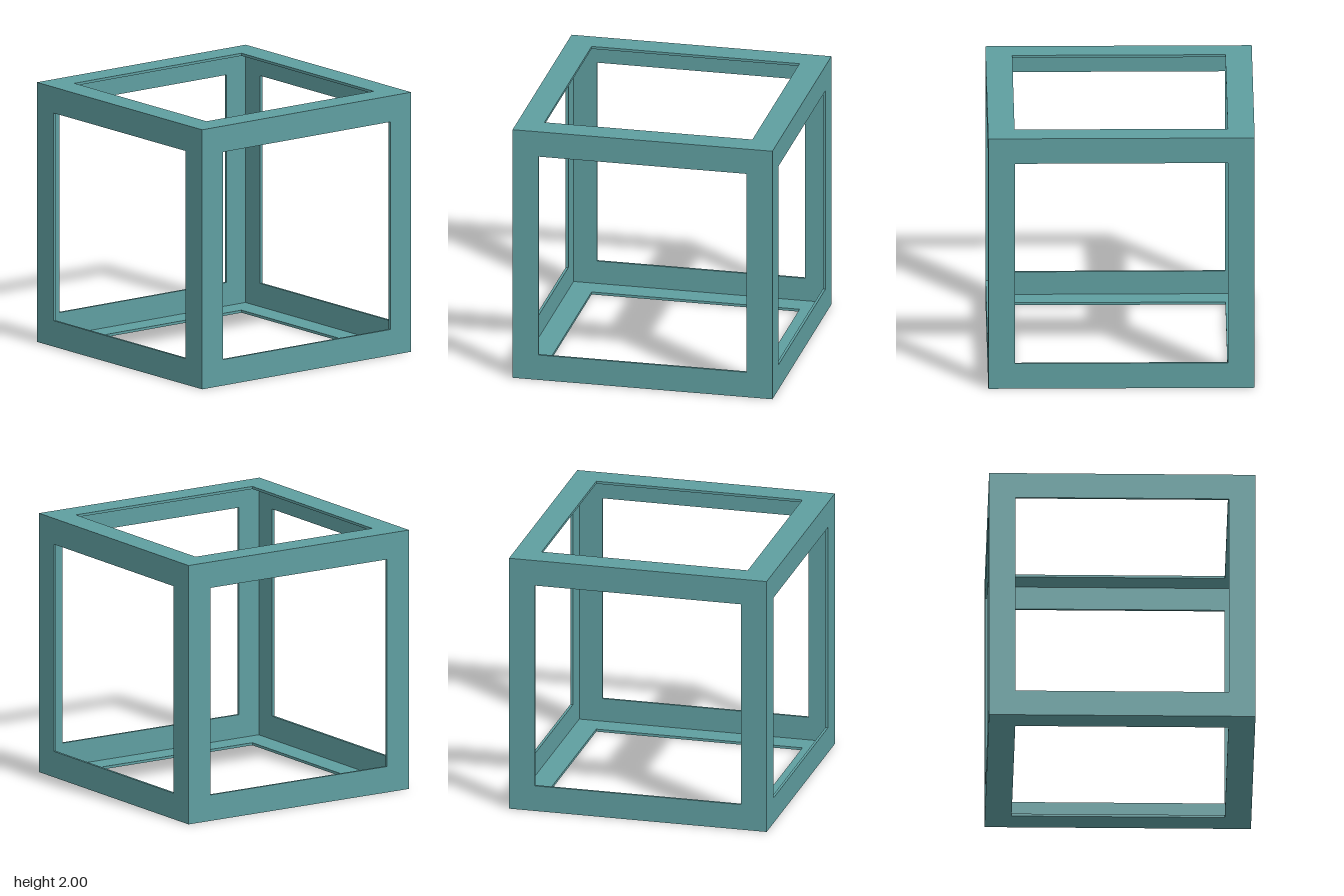
import * as THREE from 'three';

const HALF = 1;        // half the cube's side
const OPENING = 0.8;   // half the side of each window
const WALL = 0.02;     // panel thickness

const square = (Type, h) => new Type([[-h, -h], [h, -h], [h, h], [-h, h]].map(([x, y]) => new THREE.Vector2(x, y)));

// Square panel with a window, its outer rim mitred so six of them close up at the corners
function panelGeometry() {
  const shape = square(THREE.Shape, HALF);
  shape.holes.push(square(THREE.Path, OPENING));
  const geo = new THREE.ExtrudeGeometry(shape, { depth: WALL, bevelEnabled: false });
  geo.translate(0, 0, HALF - WALL);
  const p = geo.attributes.position;
  const inner = HALF - WALL;
  for (let i = 0; i < p.count; i++) {
    if (p.getZ(i) < HALF - WALL / 2) {
      p.setX(i, THREE.MathUtils.clamp(p.getX(i), -inner, inner));
      p.setY(i, THREE.MathUtils.clamp(p.getY(i), -inner, inner));
    }
  }
  geo.computeVertexNormals();
  return geo;
}

export function createModel() {
  const model = new THREE.Group();
  model.name = 'cubeFrame';
  const material = new THREE.MeshStandardMaterial({ color: 0x5f9ea0 });
  const geo = panelGeometry();
  const q = Math.PI / 2;

  // One panel per cube face, turned about the cube's centre
  const faces = [
    ['frontPanel', 0, 0], ['leftPanel', 0, q], ['backPanel', 0, 2 * q],
    ['rightPanel', 0, -q], ['topPanel', -q, 0], ['bottomPanel', q, 0],
  ];
  for (const [name, rx, ry] of faces) {
    const panel = new THREE.Mesh(geo, material);
    panel.name = name;
    panel.rotation.set(rx, ry, 0);
    panel.position.y = HALF;
    model.add(panel);
  }
  return model;
}
